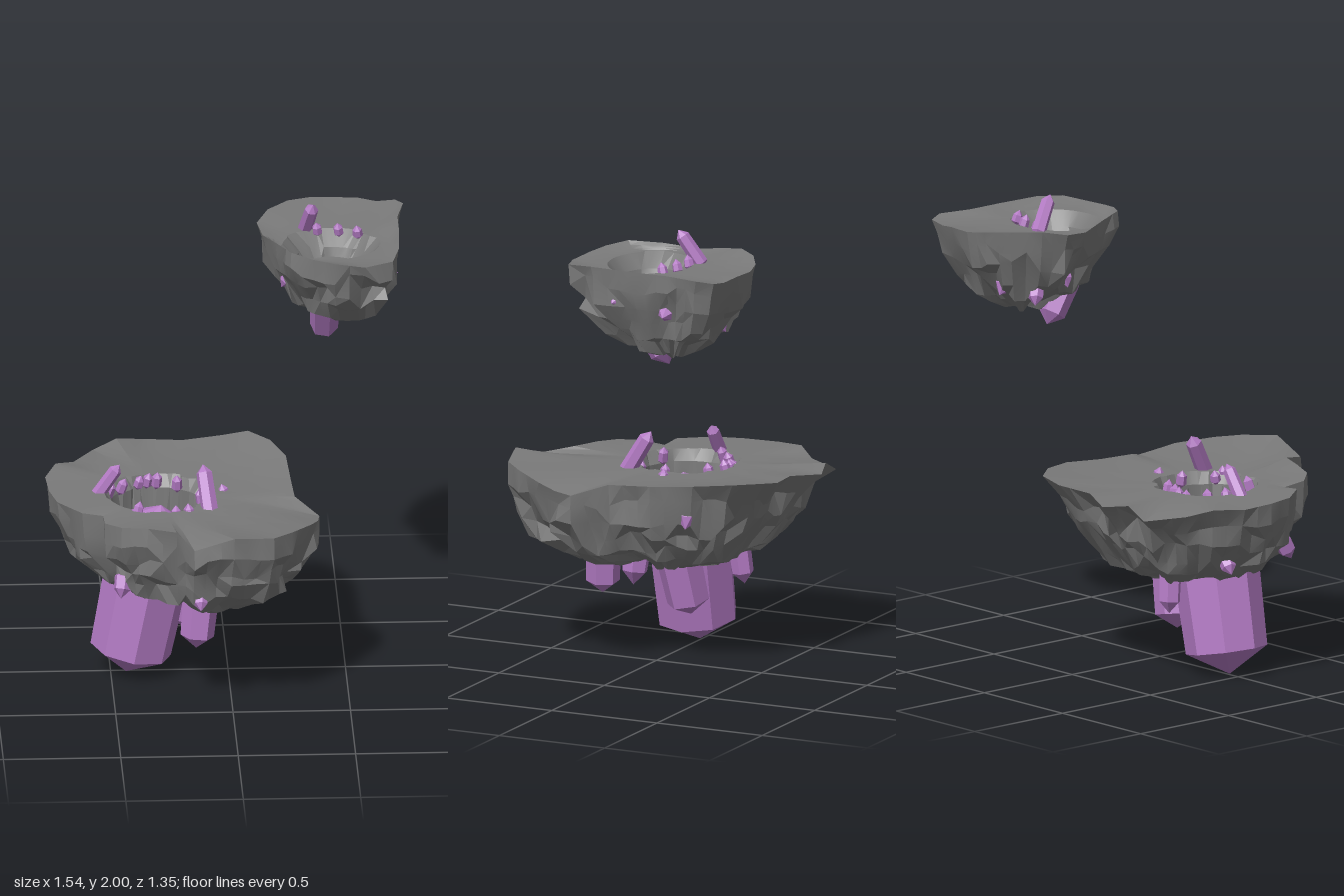
import * as THREE from 'three';
import { toCreasedNormals } from 'three/addons/utils/BufferGeometryUtils.js';

const rockMaterial = new THREE.MeshStandardMaterial({ color: 0x7a7a7a });
const crystalMaterial = new THREE.MeshStandardMaterial({ color: 0xb57cc6, flatShading: true });

// Repeatable pseudo-random value in -1..1
function hash(a, b) {
  const s = Math.sin(a * 127.1 + b * 311.7) * 43758.5453;
  return (s - Math.floor(s)) * 2 - 1;
}

// Closed outline of [x, y, z] points resampled into short edges
function subdivide(points, step) {
  const out = [];
  points.forEach((p, i) => {
    const a = new THREE.Vector3(...p);
    const b = new THREE.Vector3(...points[(i + 1) % points.length]);
    const n = Math.max(1, Math.round(a.distanceTo(b) / step));
    for (let k = 0; k < n; k++) out.push(a.clone().lerp(b, k / n));
  });
  return out;
}

// Rock: pit floor, pit wall, gently sloped top, then a rugged tapering underside
function rock(name, { outline, step, pit, under, seed, rough }) {
  const rim = subdivide(outline, step);
  const n = rim.length;
  const rings = [];
  const pitPoint = (p, scale, y) => {
    const a = Math.atan2(p.z - pit.z, p.x - pit.x);
    return new THREE.Vector3(pit.x + Math.cos(a) * pit.rx * scale, y, pit.z + Math.sin(a) * pit.rz * scale);
  };
  pit.rows.forEach(([scale, y], r) => rings.push(rim.map((p, j) =>
    pitPoint(p, scale * (1 + 0.07 * hash(Math.floor(j / 3), seed + r)), y))));
  const lip = rings[rings.length - 1];
  for (const k of [0.25, 0.5, 0.75, 1]) {
    rings.push(rim.map((p, j) => {
      const v = lip[j].clone().lerp(p, k);
      v.y = THREE.MathUtils.lerp(lip[j].y, p.y, k * k);
      return v;
    }));
  }
  // Underside rows: [distance from the centre, share of the height]; fuller in front, leaner behind
  under.rows.forEach(([k, h], r) => rings.push(rim.map((p, j) => {
    const side = (p.z - under.z) / 0.65;
    const fullness = 1 + side * (side > 0 ? under.front * (1 - k) : under.back * (1 - k * 0.6));
    const c = Math.floor((j + (r % 2)) / 2);
    const wave = rough * Math.min(1, (1.05 - k) * 5) * (hash(c, seed + r * 3) * 0.7 + hash(j, seed + r * 7) * 0.4);
    const kk = k * fullness * (1 + wave);
    return new THREE.Vector3(
      THREE.MathUtils.lerp(under.x, p.x, kk),
      THREE.MathUtils.lerp(under.y, p.y, h) + (k > 0 ? rough * 0.25 * hash(c + 9, seed + r * 5) : 0),
      THREE.MathUtils.lerp(under.z, p.z, kk));
  })));
  const index = [];
  for (let i = 0; i < rings.length - 1; i++) {
    for (let j = 0; j < n; j++) {
      const a = i * n + j, b = i * n + (j + 1) % n, d = a + n, c = b + n;
      if (hash(i, j) > 0) index.push(a, b, d, b, c, d);
      else index.push(a, b, c, a, c, d);
    }
  }
  const geometry = new THREE.BufferGeometry().setFromPoints(rings.flat());
  geometry.setIndex(index);
  const mesh = new THREE.Mesh(toCreasedNormals(geometry, 0.25), rockMaterial);
  mesh.name = name;
  return mesh;
}

// Faceted crystal pointed at both ends, running from one point to another
function crystal(name, from, to, radius, point = 1, sides = 6) {
  const a = new THREE.Vector3(...from), b = new THREE.Vector3(...to);
  const length = a.distanceTo(b);
  const cap = Math.min(radius * point, length * 0.4);
  const profile = [[0, 0], [radius, cap], [radius * 0.92, length - cap], [0, length]];
  const geometry = new THREE.LatheGeometry(profile.map(p => new THREE.Vector2(...p)), sides, hash(from[0], from[2]));
  const mesh = new THREE.Mesh(geometry, crystalMaterial);
  mesh.position.copy(a);
  mesh.quaternion.setFromUnitVectors(new THREE.Vector3(0, 1, 0), b.sub(a).normalize());
  mesh.name = name;
  return mesh;
}

export function createModel() {
  const model = new THREE.Group();
  model.name = 'floatingCrystalRocks';

  const large = new THREE.Group();
  large.name = 'largeIsland';
  large.add(rock('largeRock', {
    seed: 3, rough: 0.1, step: 0.065,
    outline: [
      [-0.77, 0.81, -0.2], [-0.72, 0.82, -0.33], [-0.64, 0.79, -0.42], [-0.55, 0.78, -0.58],
      [-0.45, 0.83, -0.58], [-0.33, 0.81, -0.62], [-0.17, 0.83, -0.55], [0, 0.84, -0.575],
      [0.11, 0.86, -0.57], [0.2, 0.86, -0.46], [0.26, 0.85, -0.3], [0.27, 0.83, -0.1],
      [0.28, 0.82, 0.09], [0.38, 0.78, 0.22], [0.37, 0.79, 0.3], [0.34, 0.81, 0.39],
      [0.25, 0.83, 0.53], [0.17, 0.84, 0.62], [0, 0.86, 0.67], [-0.17, 0.8, 0.65],
      [-0.24, 0.83, 0.51], [-0.36, 0.83, 0.46], [-0.47, 0.82, 0.42], [-0.54, 0.81, 0.34],
      [-0.54, 0.8, 0.23], [-0.63, 0.81, 0.22], [-0.73, 0.81, 0.09], [-0.76, 0.81, -0.04]],
    pit: { x: -0.3, z: 0, rx: 0.22, rz: 0.22, rows: [[0, 0.6], [0.86, 0.62], [0.92, 0.76], [1, 0.81]] },
    under: {
      x: -0.18, y: 0.39, z: 0.02, back: 0.28, front: 0.35,
      rows: [[0.98, 0.8], [0.93, 0.62], [0.87, 0.46], [0.78, 0.31], [0.66, 0.19], [0.5, 0.1], [0.28, 0.04], [0, 0]],
    },
  }));
  large.add(crystal('mainCrystal', [-0.285, 0.76, 0.015], [-0.435, 0, 0.01], 0.19, 0.55, 8));

  // Crystals hanging under and growing from the sides: from, to, radius, point
  [
    [[-0.11, 0.55, -0.02], [-0.19, 0.17, -0.07], 0.1, 0.6],
    [[-0.12, 0.55, 0.31], [-0.15, 0.23, 0.33], 0.078, 0.7],
    [[-0.32, 0.55, -0.22], [-0.34, 0.29, -0.25], 0.05],
    [[-0.02, 0.5, 0.1], [0, 0.32, 0.11], 0.06],
    [[-0.56, 0.6, -0.15], [-0.65, 0.5, -0.17], 0.035],
    [[-0.45, 0.58, 0.27], [-0.47, 0.46, 0.33], 0.04],
    [[-0.14, 0.58, 0.51], [-0.14, 0.5, 0.59], 0.032],
    [[0.14, 0.76, -0.23], [0.23, 0.65, -0.25], 0.045],
  ].forEach(c => large.add(crystal('hangingCrystal', ...c)));

  // Tall crystals at the edge of the pit
  large.add(crystal('tallCrystal', [-0.57, 0.77, -0.03], [-0.46, 0.93, -0.03], 0.03));
  large.add(crystal('tallCrystal', [-0.08, 0.76, 0.2], [-0.11, 0.97, 0.08], 0.037));

  // Small crystals ringing the pit, leaning inward
  [[-0.37, -0.19], [-0.33, -0.2], [-0.29, -0.19], [-0.2, -0.15], [-0.45, -0.13], [-0.51, -0.07],
    [-0.1, 0.02], [-0.39, 0.17], [-0.22, 0.22], [-0.16, 0.22], [-0.16, 0.17], [0.01, -0.025]]
    .forEach(([x, z], i) => large.add(crystal('pitCrystal',
      [x - 0.01, 0.75, z], [x - (x + 0.3) * 0.12, 0.83 + 0.01 * hash(i, 2), z * 0.9], 0.023)));
  model.add(large);

  const small = new THREE.Group();
  small.name = 'smallIsland';
  small.add(rock('smallRock', {
    seed: 11, rough: 0.13, step: 0.06,
    outline: [
      [0.14, 1.88, -0.4], [0.19, 1.9, -0.5], [0.28, 1.9, -0.6], [0.38, 1.89, -0.66], [0.47, 1.88, -0.68],
      [0.58, 1.88, -0.67], [0.66, 1.87, -0.65], [0.74, 1.88, -0.64], [0.77, 1.89, -0.57], [0.74, 1.89, -0.42],
      [0.74, 1.89, -0.25], [0.73, 1.89, -0.05], [0.7, 1.88, 0.07], [0.58, 1.87, 0.11], [0.45, 1.88, 0.09],
      [0.36, 1.89, 0.06], [0.27, 1.9, 0], [0.21, 1.89, -0.14], [0.16, 1.87, -0.28]],
    pit: { x: 0.44, z: -0.19, rx: 0.21, rz: 0.18, rows: [[0, 1.76], [0.6, 1.76], [0.72, 1.8], [1, 1.86]] },
    under: {
      x: 0.51, y: 1.5, z: -0.33, back: 0.12, front: 0,
      rows: [[0.98, 0.82], [0.89, 0.6], [0.79, 0.42], [0.64, 0.26], [0.45, 0.12], [0.24, 0.04], [0, 0]],
    },
  }));
  [
    [[0.42, 1.64, -0.14], [0.42, 1.42, -0.27], 0.065, 0.8],
    [[0.31, 1.72, -0.3], [0.24, 1.62, -0.31], 0.035],
    [[0.33, 1.7, -0.4], [0.27, 1.56, -0.47], 0.035],
    [[0.44, 1.7, -0.44], [0.42, 1.59, -0.54], 0.045],
    [[0.6, 1.74, -0.38], [0.73, 1.7, -0.39], 0.04],
    [[0.6, 1.76, -0.15], [0.73, 1.74, -0.15], 0.04],
  ].forEach(c => small.add(crystal('hangingCrystal', ...c)));
  small.add(crystal('tallCrystal', [0.34, 1.83, -0.4], [0.375, 2, -0.29], 0.032));
  [[0.4, -0.35], [0.49, -0.34], [0.57, -0.31]].forEach(([x, z]) =>
    small.add(crystal('pitCrystal', [x, 1.83, z - 0.01], [x - 0.01, 1.9, z + 0.01], 0.022)));
  model.add(small);

  return model;
}
